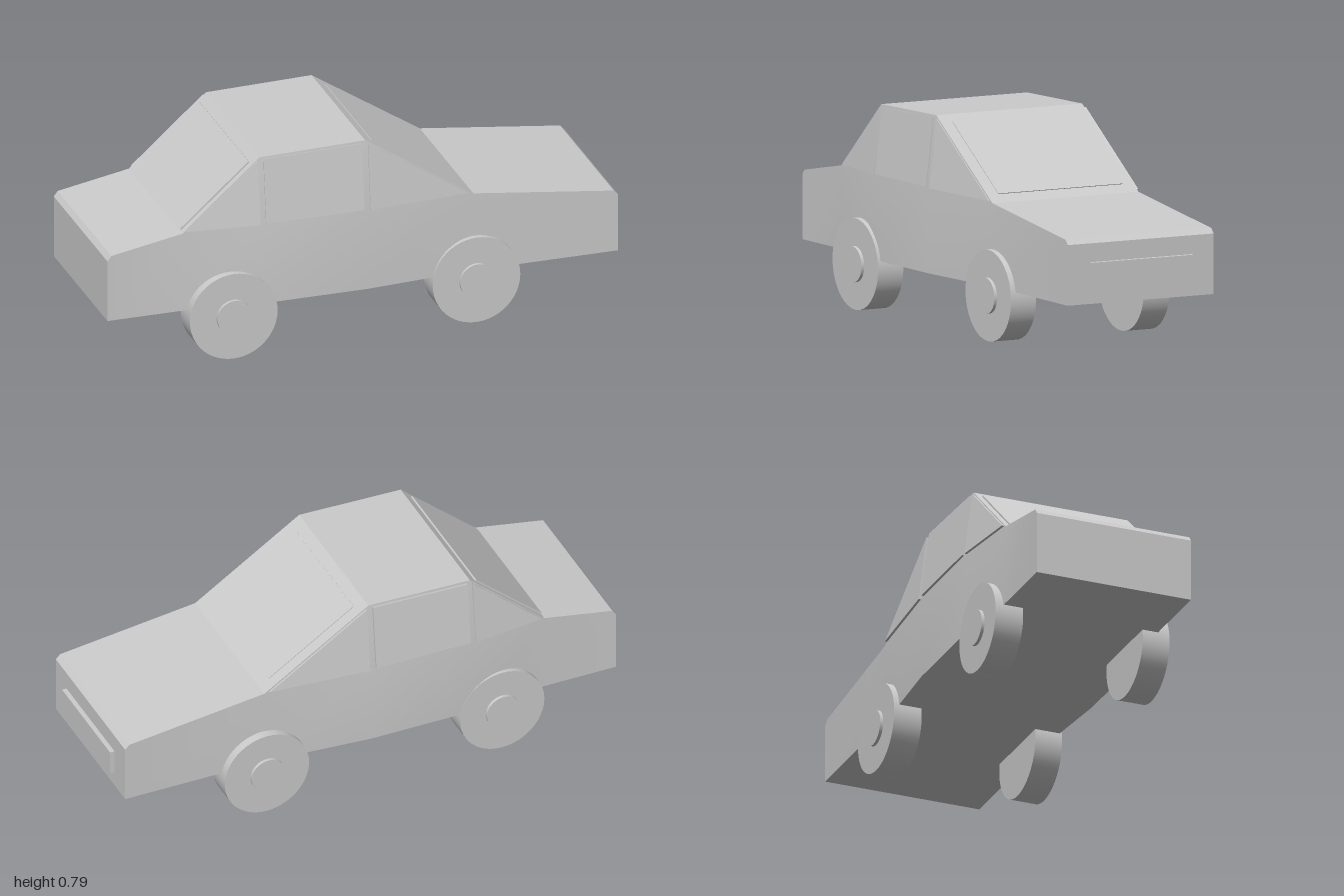
import * as THREE from 'three';
import { toCreasedNormals } from 'three/addons/utils/BufferGeometryUtils.js';
import { ConvexGeometry } from 'three/addons/geometries/ConvexGeometry.js';

const MID = -0.008; // centre line of the body in z
const FLOOR = 0.2, BELT = 0.51, NARROW = 0.308, WIDE = 0.341;
const V = (x, y, z) => new THREE.Vector3(x, y, z);

// Stations along the car: x, top height, half width at belt line and floor
const STATIONS = [
  [-1, 0.44, NARROW], [-0.985, 0.46, NARROW], [-0.71, 0.51, NARROW],
  [-0.41, 0.775, WIDE], [0, 0.785, WIDE],
  [0.42, 0.51, NARROW], [0.965, 0.443, NARROW], [0.982, 0.425, NARROW],
];

// Body shell: six-point cross-sections joined along x, with capped ends
function bodyGeometry() {
  const rings = STATIONS.map(([x, top, w]) => {
    const belt = Math.min(top, BELT);
    return [[FLOOR, w], [belt, w], [top, NARROW], [top, -NARROW], [belt, -w], [FLOOR, -w]]
      .map(([y, z]) => V(x, y, MID + z));
  });
  const pos = [];
  const tri = (a, b, c) => {
    if (a.equals(b) || b.equals(c) || a.equals(c)) return;
    for (const p of [a, b, c]) pos.push(p.x, p.y, p.z);
  };
  for (let s = 0; s < rings.length - 1; s++) {
    const r = rings[s], q = rings[s + 1];
    for (let i = 0; i < 6; i++) {
      const j = (i + 1) % 6;
      tri(r[i], q[i], q[j]);
      tri(r[i], q[j], r[j]);
    }
  }
  const back = rings[0], front = rings[rings.length - 1];
  for (let i = 1; i < 5; i++) {
    tri(back[0], back[i], back[i + 1]);
    tri(front[0], front[i + 1], front[i]);
  }
  const g = new THREE.BufferGeometry();
  g.setAttribute('position', new THREE.Float32BufferAttribute(pos, 3));
  return toCreasedNormals(g, 0.35);
}

// Thin flat panel on a surface: corners shrunk to their centre, raised outwards
function panelGeometry(corners, scale, raise) {
  const centre = corners.reduce((s, p) => s.add(p), V(0, 0, 0)).divideScalar(corners.length);
  const n = corners[1].clone().sub(corners[0]).cross(corners[2].clone().sub(corners[0])).normalize();
  if (n.dot(centre.clone().sub(V(centre.x * 0.5, 0.4, 0))) < 0) n.negate();
  const points = [];
  for (const c of corners) {
    const p = centre.clone().lerp(c, scale);
    points.push(p.clone().addScaledVector(n, raise), p.clone().addScaledVector(n, -0.006));
  }
  return new ConvexGeometry(points);
}

export function createModel() {
  const car = new THREE.Group();
  car.name = 'car';
  const grey = new THREE.MeshStandardMaterial({ color: 0xcccccc });
  const add = (name, geometry, parent = car) => {
    const mesh = new THREE.Mesh(geometry, grey);
    mesh.name = name;
    parent.add(mesh);
    return mesh;
  };

  add('body', bodyGeometry());

  // Front and rear glass
  add('windscreen', panelGeometry(
    [V(0.038, 0.76, 0.253), V(0.38, 0.536, 0.253), V(0.38, 0.536, -0.27), V(0.038, 0.76, -0.27)], 1, 0.003));
  add('rearWindow', panelGeometry(
    [V(-0.44, 0.748, 0.275), V(-0.705, 0.514, 0.275), V(-0.705, 0.514, -0.295), V(-0.44, 0.748, -0.295)], 1, 0.007));

  // Side glass: rear quarter, door and front quarter on both sides
  for (const side of [1, -1]) {
    const at = (x, y, w) => V(x, y, MID + side * w);
    const label = side > 0 ? 'Left' : 'Right';
    const raise = side > 0 ? 0.004 : 0.009;
    const rearTop = at(-0.41, 0.775, NARROW), rearBelt = at(-0.41, BELT, WIDE);
    const frontTop = at(0, 0.785, NARROW), frontBelt = at(0, BELT, WIDE);
    add('rearQuarterWindow' + label, panelGeometry([at(-0.71, BELT, NARROW), rearBelt, rearTop], 0.93, raise));
    add('doorWindow' + label, panelGeometry([rearBelt, frontBelt, frontTop, rearTop], 0.93, raise));
    add('frontQuarterWindow' + label, panelGeometry([frontBelt, at(0.42, BELT, NARROW), frontTop], 0.93, raise));
  }

  // Grille plate on the nose
  add('grille', new THREE.BoxGeometry(0.03, 0.096, 0.427)).position.set(0.985, 0.307, MID);

  // Wheels with hubcaps: x, inner z, outer z
  const wheels = [
    ['frontWheelLeft', 0.425, 0.215, 0.321], ['frontWheelRight', 0.425, -0.24, -0.35],
    ['rearWheelLeft', -0.525, 0.238, 0.345], ['rearWheelRight', -0.525, -0.24, -0.35],
  ];
  for (const [name, x, inner, outer] of wheels) {
    const wheel = new THREE.Group();
    wheel.name = name;
    wheel.position.set(x, 0.17, (inner + outer) / 2);
    car.add(wheel);
    const tyre = add('tyre', new THREE.CylinderGeometry(0.17, 0.17, Math.abs(outer - inner), 48), wheel);
    const hub = add('hubcap', new THREE.CylinderGeometry(0.067, 0.067, 0.04, 32), wheel);
    tyre.rotation.x = hub.rotation.x = Math.PI / 2;
    hub.position.z = Math.sign(outer) * (Math.abs(outer - inner) / 2 - 0.008);
  }
  return car;
}
